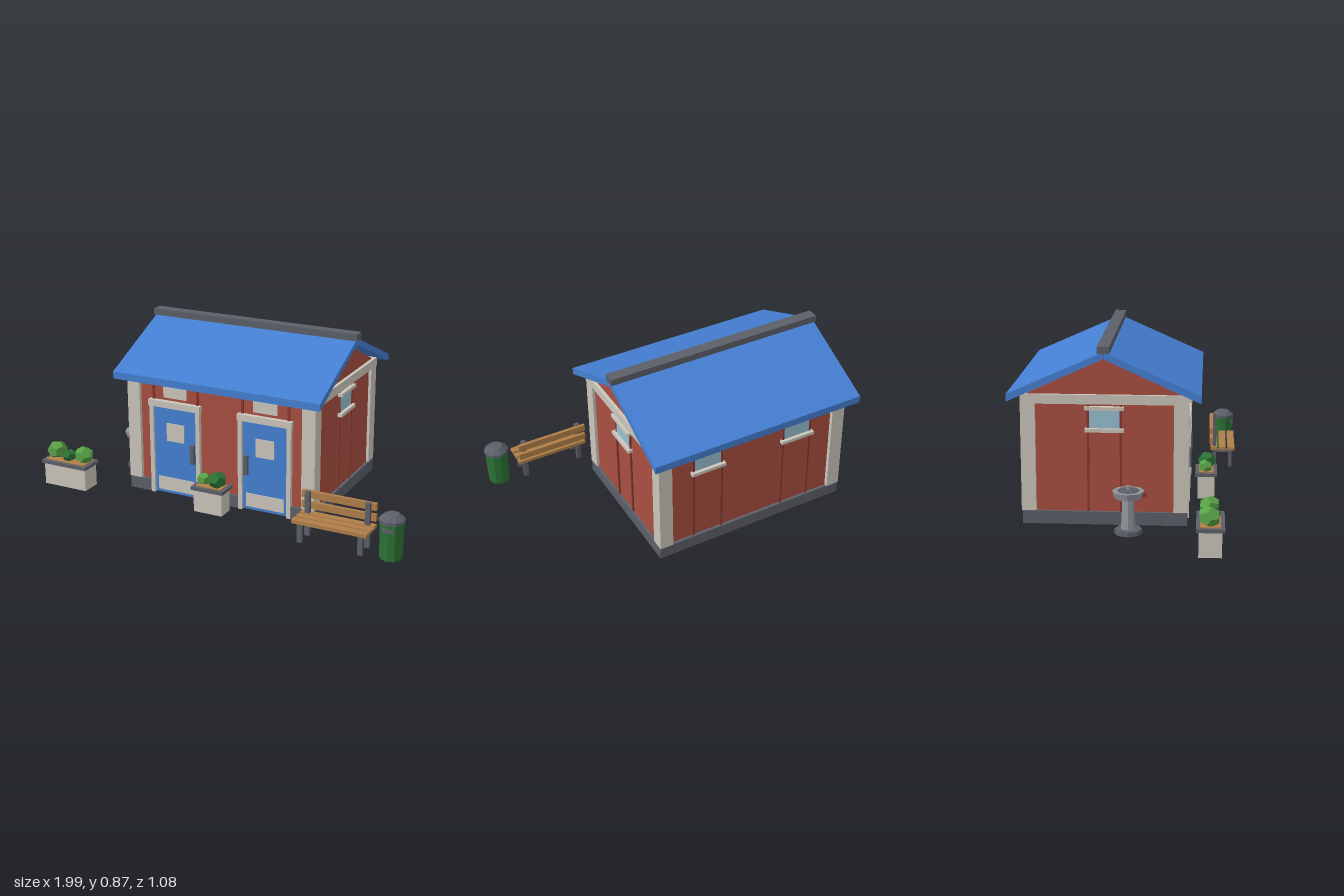
import * as THREE from 'three';

const mat = (name, color) => {
  const m = new THREE.MeshStandardMaterial({ color });
  m.name = name;
  return m;
};

export function createModel() {
  const red = mat('brick red', 0xa84e3f);
  const darkRed = mat('dark red', 0x84392f);
  const cream = mat('cream', 0xcac5bb);
  const blue = mat('blue', 0x447fd2);
  const slate = mat('slate grey', 0x5c5f69);
  const steel = mat('light grey', 0x92959c);
  const glass = mat('window glass', 0x96c0d0);
  const wood = mat('wood', 0xb07e48);
  const green = mat('dark green', 0x2a7235);
  const leaf = mat('light green', 0x58a146);

  const model = new THREE.Group();
  model.name = 'restroomScene';
  const group = (name, x, z, parent = model) => {
    const g = new THREE.Group();
    g.name = name;
    g.position.set(x, 0, z);
    parent.add(g);
    return g;
  };
  const add = (parent, name, geo, material) => {
    const m = new THREE.Mesh(geo, material);
    m.name = name;
    parent.add(m);
    return m;
  };
  // Box given by its limits along x, y and z
  const box = (parent, name, material, x0, x1, y0, y1, z0, z1) => {
    const m = add(parent, name, new THREE.BoxGeometry(x1 - x0, y1 - y0, z1 - z0), material);
    m.position.set((x0 + x1) / 2, (y0 + y1) / 2, (z0 + z1) / 2);
    return m;
  };
  // Faceted upright drum
  const drum = (parent, name, material, rTop, rBottom, y0, y1, sides) => {
    const geo = new THREE.CylinderGeometry(rTop, rBottom, y1 - y0, sides).toNonIndexed();
    geo.computeVertexNormals();
    const m = add(parent, name, geo, material);
    m.position.y = (y0 + y1) / 2;
    return m;
  };
  // Outline in the side plane, extruded along x and centred
  const prism = (points, depth) => {
    const shape = new THREE.Shape(points.map(p => new THREE.Vector2(p[0], p[1])));
    const geo = new THREE.ExtrudeGeometry(shape, { depth, bevelEnabled: false });
    return geo.translate(0, 0, -depth / 2).rotateY(Math.PI / 2);
  };

  // ---- Building ----
  const house = group('building', -0.045, -0.09);
  const W = 0.505, D = 0.375, T = 0.04, DOOR = 0.25;

  // Hollow walls, with two door openings in front
  const front = new THREE.Shape();
  front.moveTo(-W, 0);
  for (const s of [-1, 1]) {
    front.lineTo(s * DOOR - 0.125, 0);
    front.lineTo(s * DOOR - 0.125, 0.47);
    front.lineTo(s * DOOR + 0.125, 0.47);
    front.lineTo(s * DOOR + 0.125, 0);
  }
  front.lineTo(W, 0);
  front.lineTo(W, 0.625);
  front.lineTo(-W, 0.625);
  add(house, 'frontWall', new THREE.ExtrudeGeometry(front, { depth: T, bevelEnabled: false }), red)
    .position.z = D - T;
  box(house, 'backWall', red, -W, W, 0, 0.625, -D, -D + T);
  box(house, 'partition', red, -0.02, 0.02, 0, 0.625, -D + T, D - T);
  for (const s of [-1, 1]) {
    const x = s * (W - T / 2);
    box(house, 'sideWall', red, x - T / 2, x + T / 2, 0, 0.625, -D + T, D - T);
    add(house, 'gable', prism([[-0.375, 0.625], [0.375, 0.625], [0, 0.803]], T), red).position.x = x;
    const b = s * 0.497;
    box(house, 'gableBeam', cream, b - 0.025, b + 0.025, 0.585, 0.63, -0.395, 0.395);
    const p = s * 0.507;
    box(house, 'sidePlinth', slate, p - 0.012, p + 0.012, 0, 0.063, -0.39, 0.39);
    for (const t of [-1, 1]) {
      const cx = s * 0.4845, cz = t * 0.36;
      box(house, 'cornerBoard', cream, cx - 0.035, cx + 0.035, 0.065, 0.585, cz - 0.035, cz + 0.035);
    }
  }
  box(house, 'backPlinth', slate, -0.5, 0.5, 0, 0.063, -0.39, -D + 0.01);
  for (const [a, b] of [[-0.519, -0.385], [-0.12, 0.12], [0.385, 0.519]])
    box(house, 'frontPlinth', slate, a, b, 0, 0.063, D - 0.01, 0.391);

  // Roof slabs and ridge cap
  for (const s of [-1, 1]) {
    const slab = [[0.003, 0.838], [0.452, 0.639], [0.452, 0.602], [0.003, 0.806]];
    add(house, 'roofSlab', prism(slab.map(([u, y]) => [s * u, y]), 1.13), blue);
  }
  box(house, 'ridgeCap', slate, -0.572, 0.572, 0.832, 0.866, -0.029, 0.029);

  // Windows, each built facing +z and turned to its wall
  const addWindow = (x, z, turn) => {
    const w = group('window', x, z, house);
    w.rotation.y = turn;
    box(w, 'glass', glass, -0.075, 0.075, 0.465, 0.56, 0, 0.006);
    box(w, 'lintel', cream, -0.092, 0.092, 0.557, 0.574, -0.005, 0.024);
    box(w, 'sill', cream, -0.092, 0.092, 0.452, 0.469, -0.005, 0.024);
    for (const s of [-1, 1])
      box(w, 'batten', darkRed, s * 0.077 - 0.005, s * 0.077 + 0.005, 0.063, 0.585, -0.005, 0.008);
  };
  addWindow(W, 0, Math.PI / 2);
  addWindow(-W, 0, -Math.PI / 2);
  for (const s of [-1, 1]) addWindow(s * DOOR, -D, Math.PI);

  // Doors
  for (const s of [-1, 1]) {
    const d = group('door', s * DOOR, D, house);
    box(d, 'doorPanel', blue, -0.122, 0.122, 0.004, 0.47, -0.035, 0.008);
    box(d, 'doorPlate', cream, -0.05, 0.05, 0.29, 0.385, 0.008, 0.013);
    box(d, 'kickPlate', cream, -0.103, 0.103, 0.02, 0.09, 0.008, 0.013);
    box(d, 'handle', slate, s * -0.1 - 0.01, s * -0.1 + 0.01, 0.19, 0.29, 0.008, 0.028);
    box(d, 'frameTop', cream, -0.147, 0.147, 0.47, 0.503, -0.005, 0.026);
    box(d, 'sign', cream, -0.065, 0.065, 0.52, 0.575, -0.005, 0.012);
    for (const t of [-1, 1]) {
      box(d, 'frameSide', cream, t * 0.132 - 0.011, t * 0.132 + 0.011, 0, 0.47, -0.005, 0.022);
      box(d, 'batten', darkRed, t * 0.125 - 0.006, t * 0.125 + 0.006, 0.503, 0.61, -0.005, 0.008);
    }
  }

  // ---- Planters: half width, half depth, and bushes [x, z, radius, material] ----
  const planter = (x, z, w, d, bushes) => {
    const g = group('planter', x, z);
    box(g, 'planterBody', cream, -w + 0.01, w - 0.01, 0, 0.118, -d + 0.012, d - 0.012);
    for (const s of [-1, 1]) {
      box(g, 'rim', slate, -w, w, 0.117, 0.134, s * (d - 0.009) - 0.009, s * (d - 0.009) + 0.009);
      box(g, 'rim', slate, s * (w - 0.009) - 0.009, s * (w - 0.009) + 0.009, 0.117, 0.134, -d + 0.018, d - 0.018);
    }
    box(g, 'soil', wood, -w + 0.018, w - 0.018, 0.11, 0.138, -d + 0.018, d - 0.018);
    bushes.forEach(([bx, bz, r, m], i) => {
      const b = add(g, 'bush', new THREE.DodecahedronGeometry(r), m);
      b.position.set(bx, 0.132 + r * 0.83, bz);
      b.scale.y = 0.88;
      b.rotation.y = 0.5 + i;
    });
  };
  planter(-0.866, 0.41, 0.134, 0.064,
    [[-0.08, -0.005, 0.054, leaf], [0.005, 0.01, 0.038, green], [0.086, -0.005, 0.051, leaf]]);
  planter(-0.043, 0.387, 0.088, 0.055, [[-0.043, -0.004, 0.037, leaf], [0.036, 0.004, 0.049, green]]);

  // ---- Drinking fountain ----
  const fountain = group('drinkingFountain', -0.677, 0.03);
  drum(fountain, 'base', slate, 0.064, 0.066, 0, 0.022, 8);
  drum(fountain, 'pedestal', steel, 0.027, 0.034, 0.022, 0.175, 8);
  drum(fountain, 'basin', steel, 0.076, 0.066, 0.172, 0.205, 8);
  drum(fountain, 'bowl', slate, 0.052, 0.052, 0.2, 0.208, 8);
  drum(fountain, 'spout', steel, 0.009, 0.009, 0.205, 0.23, 6);
  box(fountain, 'button', darkRed, -0.012, 0.012, 0.178, 0.2, 0.06, 0.086);

  // ---- Bench ----
  const bench = group('bench', 0.648, 0);
  const L = 0.188;
  for (const [y0, y1, z0, z1] of [[0.187, 0.222, 0.403, 0.421], [0.133, 0.167, 0.403, 0.421],
    [0.099, 0.117, 0.408, 0.444], [0.099, 0.117, 0.455, 0.492], [0.099, 0.117, 0.503, 0.541]])
    box(bench, 'slat', wood, -L, L, y0, y1, z0, z1);
  for (const s of [-1, 1]) {
    const x0 = s * 0.152 - 0.012, x1 = s * 0.152 + 0.012;
    box(bench, 'backPost', slate, x0, x1, 0, 0.226, 0.421, 0.44);
    box(bench, 'frontLeg', slate, x0, x1, 0, 0.099, 0.507, 0.527);
    box(bench, 'seatRail', slate, x0, x1, 0.082, 0.099, 0.44, 0.507);
  }

  // ---- Litter bin ----
  const bin = group('litterBin', 0.935, 0.478);
  drum(bin, 'binBody', green, 0.058, 0.053, 0, 0.182, 10);
  drum(bin, 'lidRim', slate, 0.062, 0.062, 0.18, 0.195, 10);
  drum(bin, 'lidTop', slate, 0.034, 0.061, 0.195, 0.218, 10);
  box(bin, 'slot', slate, -0.027, 0.027, 0.143, 0.163, 0.045, 0.06);

  return model;
}
